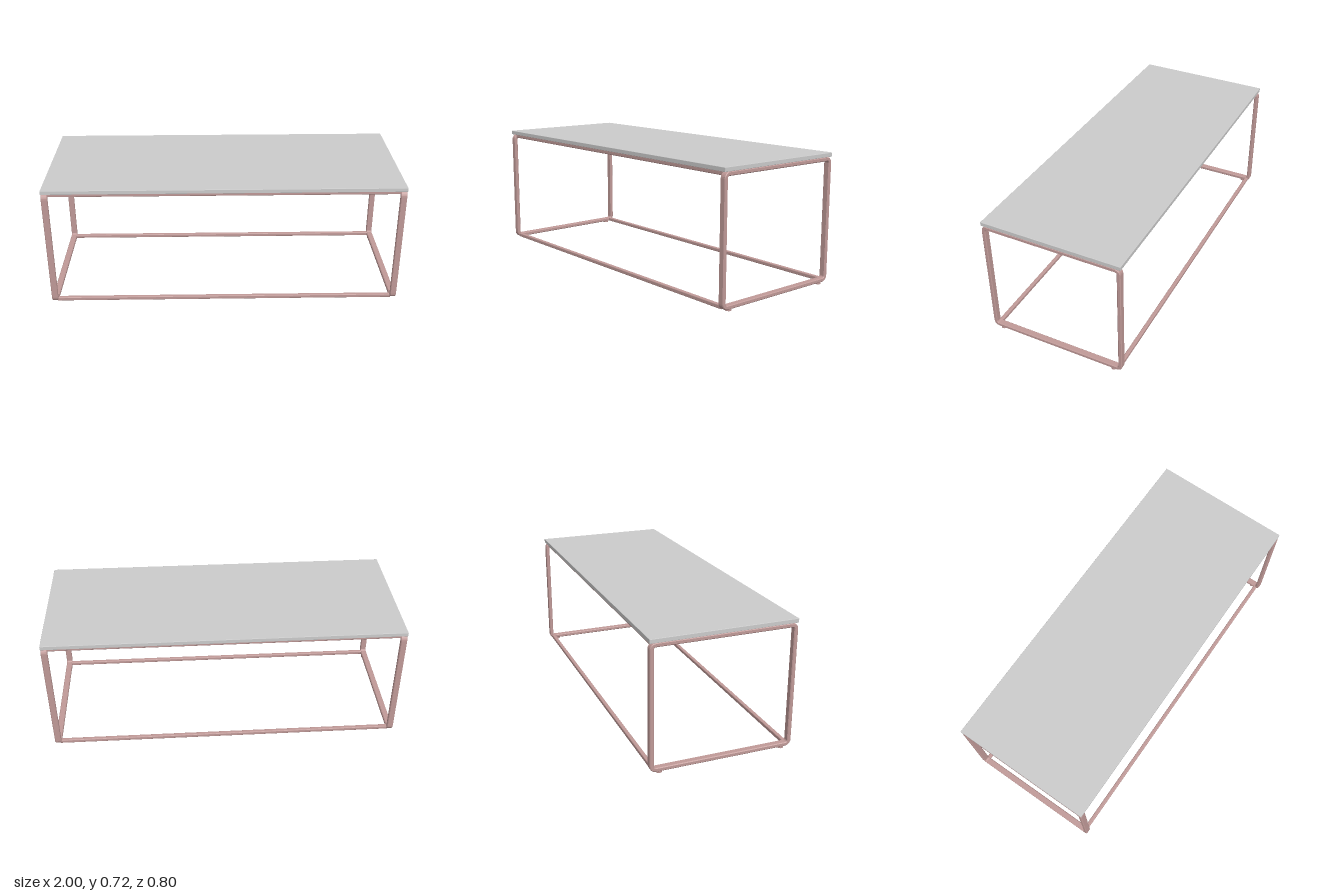
import * as THREE from 'three';
import { RoundedBoxGeometry } from 'three/addons/geometries/RoundedBoxGeometry.js';

const metal = new THREE.MeshStandardMaterial({ color: 0xc09a98, flatShading: true });
const slab = new THREE.MeshStandardMaterial({ color: 0xcccccc, flatShading: true });

const LENGTH = 2, DEPTH = 0.8, BASE = 0.009, TOP = 0.701, HEIGHT = 0.724;
const BAR = 0.022, LEG_WIDTH = 0.035, BEVEL = 0.004;

// Rectangle with rounded corners, centred on the origin
function roundedRect(target, w, h, r) {
  const x = w / 2, y = h / 2;
  target.moveTo(-x + r, -y);
  target.lineTo(x - r, -y);
  target.absarc(x - r, -y + r, r, -Math.PI / 2, 0);
  target.lineTo(x, y - r);
  target.absarc(x - r, y - r, r, 0, Math.PI / 2);
  target.lineTo(-x + r, y);
  target.absarc(-x + r, y - r, r, Math.PI / 2, Math.PI);
  target.lineTo(-x, -y + r);
  target.absarc(-x + r, -y + r, r, Math.PI, Math.PI * 1.5);
  return target;
}

export function createModel() {
  const group = new THREE.Group();
  const add = (name, geometry, material, x, y, z) => {
    const mesh = new THREE.Mesh(geometry, material);
    mesh.name = name;
    mesh.position.set(x, y, z);
    group.add(mesh);
  };

  // Table top
  add('tableTop', new RoundedBoxGeometry(LENGTH, HEIGHT - TOP, DEPTH, 1, 0.002),
    slab, 0, (HEIGHT + TOP) / 2, 0);

  // Closed end loops: flat bar with softened edges, bent at the corners
  const frameHeight = TOP - BASE, frameDepth = DEPTH - 0.002;
  const loop = roundedRect(new THREE.Shape(), frameDepth, frameHeight, 0.033);
  loop.holes.push(roundedRect(new THREE.Path(),
    frameDepth - 2 * BAR, frameHeight - 2 * BAR, 0.011));
  const frameGeometry = new THREE.ExtrudeGeometry(loop, {
    depth: LEG_WIDTH - 2 * BEVEL, curveSegments: 3, bevelEnabled: true,
    bevelThickness: BEVEL, bevelSize: BEVEL, bevelOffset: -BEVEL, bevelSegments: 1,
  });
  frameGeometry.center().rotateY(Math.PI / 2);

  // Long rails between the loops
  const railGeometry = new THREE.ExtrudeGeometry(
    roundedRect(new THREE.Shape(), BAR, BAR, 0.005),
    { depth: LENGTH - 2 * LEG_WIDTH + 0.01, curveSegments: 2, bevelEnabled: false });
  railGeometry.center().rotateY(Math.PI / 2);

  const footGeometry = new THREE.CylinderGeometry(0.016, 0.016, 0.012, 16);
  const endX = (LENGTH - LEG_WIDTH) / 2;

  for (const side of [1, -1]) {
    add(side > 0 ? 'leftEndFrame' : 'rightEndFrame', frameGeometry, metal,
      side * endX, (BASE + TOP) / 2, 0);
    const face = side > 0 ? 'front' : 'back';
    add(face + 'TopRail', railGeometry, metal, 0, TOP - BAR / 2, side * 0.374);
    add(face + 'BottomRail', railGeometry, metal, 0, BASE + BAR / 2, side * 0.374);
    // Small glides under the loops
    for (const x of [1, -1]) {
      add(face + (x > 0 ? 'Left' : 'Right') + 'Foot', footGeometry, metal,
        x * endX, 0.006, side * 0.345);
    }
  }
  return group;
}
